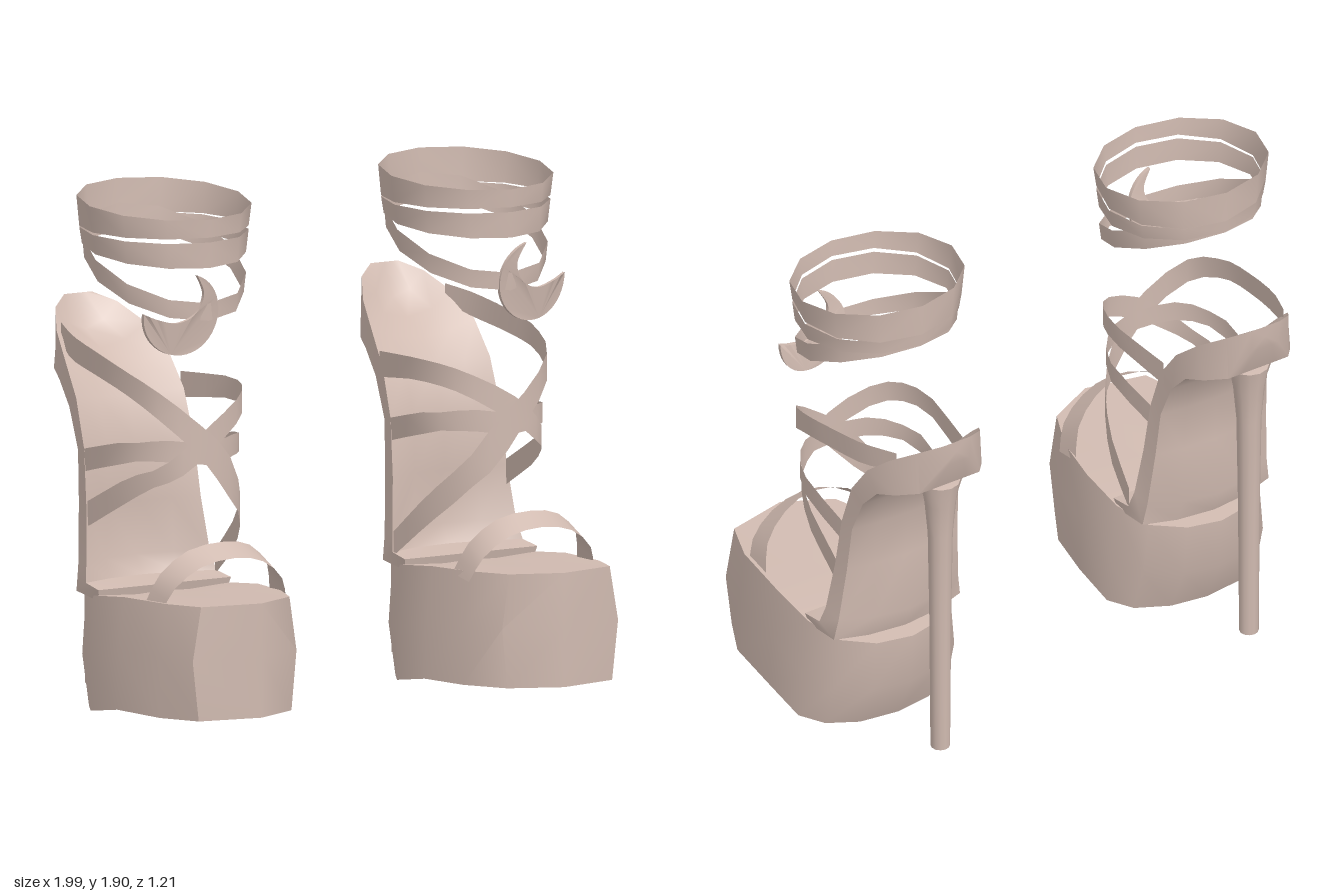
import * as THREE from 'three';
import { toCreasedNormals } from 'three/addons/utils/BufferGeometryUtils.js';

const CX = 0.67; // centre line of one shoe
const leather = new THREE.MeshStandardMaterial({ color: 0xd0bab0, side: THREE.DoubleSide });
leather.name = 'nude leather';

// Skin rows of points; optionally close each row and cap both ends
function loft(rows, closed = false, caps = false) {
  const n = rows[0].length, pos = rows.flat(2), idx = [];
  for (let i = 0; i < rows.length - 1; i++) {
    for (let j = 0; j < (closed ? n : n - 1); j++) {
      const k = (j + 1) % n, a = i * n + j, b = i * n + k;
      idx.push(a, b, b + n, a, b + n, a + n);
    }
  }
  if (caps) {
    [0, rows.length - 1].forEach((r) => {
      const c = pos.length / 3;
      for (let k = 0; k < 3; k++) pos.push(rows[r].reduce((t, p) => t + p[k], 0) / n);
      for (let j = 0; j < n; j++) {
        const a = r * n + j, b = r * n + (j + 1) % n;
        idx.push(...(r ? [a, b, c] : [b, a, c]));
      }
    });
  }
  const g = new THREE.BufferGeometry();
  g.setAttribute('position', new THREE.Float32BufferAttribute(pos, 3));
  g.setIndex(idx);
  return g;
}

// Strap along a smooth path; each point is [x, y, z, half height, half depth]
function strap(pts, n = 14) {
  const path = new THREE.CatmullRomCurve3(pts.map((p) => new THREE.Vector3(p[0], p[1], p[2])));
  const half = new THREE.CatmullRomCurve3(pts.map((p) => new THREE.Vector3(0, p[3], p[4] || 0)));
  const low = [], high = [];
  for (let i = 0; i <= n; i++) {
    const p = path.getPoint(i / n), h = half.getPoint(i / n);
    low.push(p.clone().sub(h).toArray());
    high.push(p.clone().add(h).toArray());
  }
  return loft([low, high]);
}

// Ankle ring whose edges slope from back to front: [radius x, back y, front y]
function ring(bottom, top, n = 12) {
  return loft([bottom, top].map(([rx, yBack, yFront]) => {
    const row = [];
    for (let i = 0; i < n; i++) {
      const a = (i / n) * Math.PI * 2, s = Math.sin(a);
      row.push([0.66 + rx * Math.cos(a), THREE.MathUtils.lerp(yFront, yBack, (s + 1) / 2), -0.05 - s * (0.2 + rx / 3)]);
    }
    return row;
  }), true);
}

// Platform: one plan outline, stacked and reshaped at each level
function platform() {
  const outline = [[0.66, 0.6], [0.93, 0.55], [0.97, 0.4], [0.99, 0.15], [0.985, -0.05], [0.93, -0.19], [0.82, -0.28],
    [0.67, -0.31], [0.53, -0.28], [0.41, -0.19], [0.355, -0.05], [0.355, 0.15], [0.39, 0.35], [0.45, 0.51]];
  const topY = (z) => (z > 0 ? 0.45 + 0.02 * z : Math.max(0.41, 0.45 + 0.35 * z));
  const levels = [
    { w: 1.02, toe: 0.9, back: 0.68, y: (z) => (z > 0.1 ? 0.04 : 0.012) },
    { w: 1, toe: 1, back: 0.96, y: (z) => (z < 0 ? 0.2 : 0.26) },
    { w: 0.92, toe: 0.86, back: 1, y: topY },
  ];
  return loft(levels.map((l) => outline.map(([x, z]) => [
    CX + (x - CX) * (z > 0.45 ? l.toe : l.w), l.y(z), z < 0 ? z * l.back : z])), true, true);
}

// Arched sole and heel cup: [front z, front y, back z, back y, half width, bow back, dip]
function sole() {
  const stations = [
    [-0.03, 0.455, -0.04, 0.41, 0.29, 0, 0],
    [-0.12, 0.47, -0.2, 0.43, 0.285, 0.06, 0],
    [-0.14, 0.54, -0.21, 0.52, 0.27, 0.08, 0],
    [-0.17, 0.74, -0.235, 0.75, 0.25, 0.03, 0],
    [-0.2, 0.95, -0.255, 0.94, 0.24, 0.02, 0],
    [-0.26, 1.13, -0.32, 1.09, 0.235, 0.01, 0.01],
    [-0.35, 1.26, -0.4, 1.18, 0.225, 0, 0.05],
    [-0.45, 1.35, -0.48, 1.21, 0.195, 0, 0.08],
    [-0.55, 1.42, -0.555, 1.24, 0.135, 0, 0.09],
    [-0.605, 1.455, -0.6, 1.36, 0.06, 0, 0],
  ];
  const us = [-1, -0.55, 0, 0.55, 1];
  return loft(stations.map(([fz, fy, bz, by, w, bow, dip]) => {
    const front = us.map((u) => [CX + u * w, fy - dip * (1 - u * u), fz - bow * (1 - u * u)]);
    const back = us.map((u) => [CX + u * w * 0.96, by, bz - bow * (1 - u * u)]).reverse();
    return [...front, ...back];
  }), true, true);
}

// Crescent ornament, curved to follow the ankle
function crescent() {
  const s = new THREE.Shape();
  s.absarc(0.768, 1.49, 0.152, 0.07, 1.9, true);
  s.splineThru([[0.685, 1.56], [0.715, 1.49], [0.785, 1.46], [0.86, 1.475], [0.92, 1.5]]
    .map(([x, y]) => new THREE.Vector2(x, y)));
  const g = new THREE.ExtrudeGeometry(s, { depth: 0.015, bevelEnabled: false, curveSegments: 16 });
  const p = g.attributes.position;
  for (let i = 0; i < p.count; i++) {
    p.setZ(i, p.getZ(i) + 0.25 - 0.13 * (1.64 - p.getY(i)) - 0.6 * (p.getX(i) - 0.68) ** 2);
  }
  return g;
}

// Slender stiletto flaring into the heel cup
function stiletto() {
  const profile = [[0, 0.03], [0.036, 0.03], [0.04, 0.6], [0.046, 0.98], [0.058, 1.12], [0.075, 1.22], [0, 1.23]];
  return new THREE.LatheGeometry(profile.map(([r, y]) => new THREE.Vector2(r, y)), 12).translate(CX, 0, -0.492);
}

// Flip in x and turn the triangles back to face outward
function mirror(g) {
  for (const name of ['position', 'normal']) {
    const at = g.attributes[name];
    for (let i = 0; i < at.count; i += 3) {
      const v = [0, 1, 2].map((k) => [-at.getX(i + k), at.getY(i + k), at.getZ(i + k)]);
      [v[0], v[2], v[1]].forEach((p, k) => at.setXYZ(i + k, ...p));
    }
  }
  return g;
}

function shoe(side) {
  const group = new THREE.Group();
  group.name = side > 0 ? 'leftShoe' : 'rightShoe';
  const parts = {
    platform: platform(),
    sole: sole(),
    stilettoHeel: stiletto(),
    toeStrap: strap([[0.4, 0.43, 0.31, 0.01, -0.055], [0.44, 0.53, 0.35, 0.02, -0.05], [0.54, 0.61, 0.38, 0.025, -0.045],
      [0.67, 0.635, 0.4, 0.025, -0.04], [0.81, 0.61, 0.38, 0.025, -0.045], [0.91, 0.53, 0.35, 0.02, -0.05],
      [0.945, 0.43, 0.31, 0.01, -0.055]], 12),
    // from the outer heel across the instep to the inner platform
    longDiagonalStrap: strap([[0.84, 1.345, -0.46, 0.035], [0.885, 1.31, -0.32, 0.045], [0.905, 1.275, -0.13, 0.043],
      [0.905, 1.235, 0.04, 0.042], [0.85, 1.155, 0.2, 0.05], [0.67, 0.985, 0.268, 0.06], [0.51, 0.8, 0.215, 0.06],
      [0.42, 0.645, 0.06, 0.055], [0.39, 0.5, -0.12, 0.045]], 20),
    // from the inner arch across the instep to the outer arch
    crossStrap: strap([[0.435, 1.14, -0.28, 0.048], [0.41, 1.16, 0.04, 0.04], [0.48, 1.13, 0.19, 0.042],
      [0.67, 1.02, 0.26, 0.05], [0.8, 0.92, 0.23, 0.045], [0.885, 0.84, 0.08, 0.045], [0.915, 0.715, -0.17, 0.047]], 16),
    instepBand: strap([[0.91, 0.91, -0.2, 0.042], [0.905, 0.97, 0.07, 0.04], [0.82, 0.985, 0.2, 0.04],
      [0.67, 0.97, 0.255, 0.04], [0.52, 0.985, 0.2, 0.04], [0.42, 0.97, 0.07, 0.04], [0.43, 0.91, -0.2, 0.042]], 14),
    ankleCuff: ring([0.312, 1.78, 1.768], [0.325, 1.91, 1.835]),
    ankleLowerBand: ring([0.3, 1.73, 1.655], [0.312, 1.78, 1.75]),
    ankleSlopingStrap: ring([0.29, 1.725, 1.46], [0.3, 1.82, 1.525]),
    crescentOrnament: crescent(),
  };
  for (const [name, g] of Object.entries(parts)) {
    const creased = toCreasedNormals(g, 0.8);
    const mesh = new THREE.Mesh(side > 0 ? creased : mirror(creased), leather);
    mesh.name = name;
    group.add(mesh);
  }
  return group;
}

export function createModel() {
  const model = new THREE.Group();
  model.name = 'platformSandals';
  model.add(shoe(1), shoe(-1));
  return model;
}
